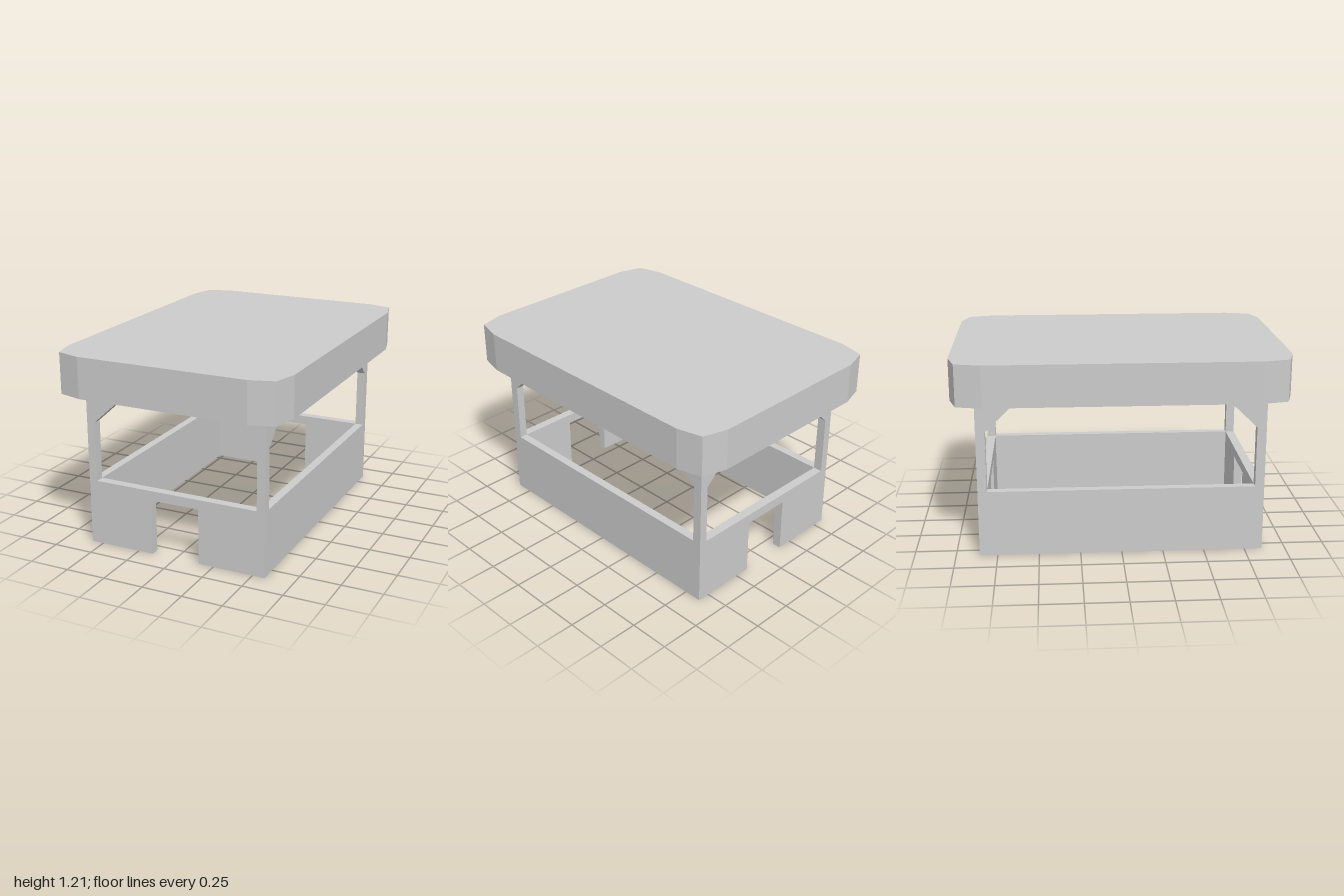
import * as THREE from 'three';

const material = new THREE.MeshStandardMaterial({ color: 0xcccccc, flatShading: true });

const HALF_W = 0.576, HALF_L = 0.858; // outer half sizes of the booth
const IN_W = 0.525, IN_L = 0.802;     // inner half sizes
const SILL = 0.405, BRACE = 0.775, EAVE = 0.96, TOP = 1.21;

function extrude(points, depth) {
  const shape = new THREE.Shape(points.map(([x, y]) => new THREE.Vector2(x, y)));
  return new THREE.ExtrudeGeometry(shape, { depth, bevelEnabled: false });
}

// Completes a half outline by mirroring it across the vertical axis
const mirrored = (half) => [...half, ...half.map(([x, y]) => [-x, y]).reverse()];

export function createModel() {
  const model = new THREE.Group();
  const add = (name, geometry) => {
    const mesh = new THREE.Mesh(geometry, material);
    mesh.name = name;
    model.add(mesh);
    return mesh;
  };

  // Roof slab with faceted corners
  const side = [[0.53, -1], [0.678, -0.957], [0.717, -0.803], [0.717, 0.803], [0.678, 0.957], [0.53, 1]];
  const roof = extrude(mirrored(side), TOP - EAVE);
  roof.rotateX(-Math.PI / 2);
  add('roof', roof).position.y = EAVE;

  // End walls: doorway below, corner posts and braces above
  const endOutline = mirrored([
    [0.155, 0.345], [0.155, 0], [HALF_W, 0], [HALF_W, EAVE],
    [0.32, EAVE], [IN_W, BRACE], [IN_W, SILL],
  ]);
  // Two loops meet at the centre, so order them as one ring: door edge first, sill last
  const endWall = extrude(endOutline, HALF_L - IN_L);
  add('frontWall', endWall).position.z = IN_L;
  add('backWall', endWall).position.z = -HALF_L;

  // Side panels between the end walls, with a brace at each post
  const thickness = HALF_W - IN_W;
  const panel = new THREE.BoxGeometry(thickness, SILL, 2 * IN_L);
  for (const [label, s] of [['left', 1], ['right', -1]]) {
    const x = s * (HALF_W + IN_W) / 2;
    add(label + 'SidePanel', panel).position.set(x, SILL / 2, 0);
    for (const [end, e] of [['Front', 1], ['Back', -1]]) {
      const brace = extrude([[e * IN_L, BRACE], [e * IN_L, EAVE], [e * 0.61, EAVE]], thickness);
      brace.rotateY(-Math.PI / 2);
      add(label + end + 'Brace', brace).position.x = x + thickness / 2;
    }
  }
  return model;
}
